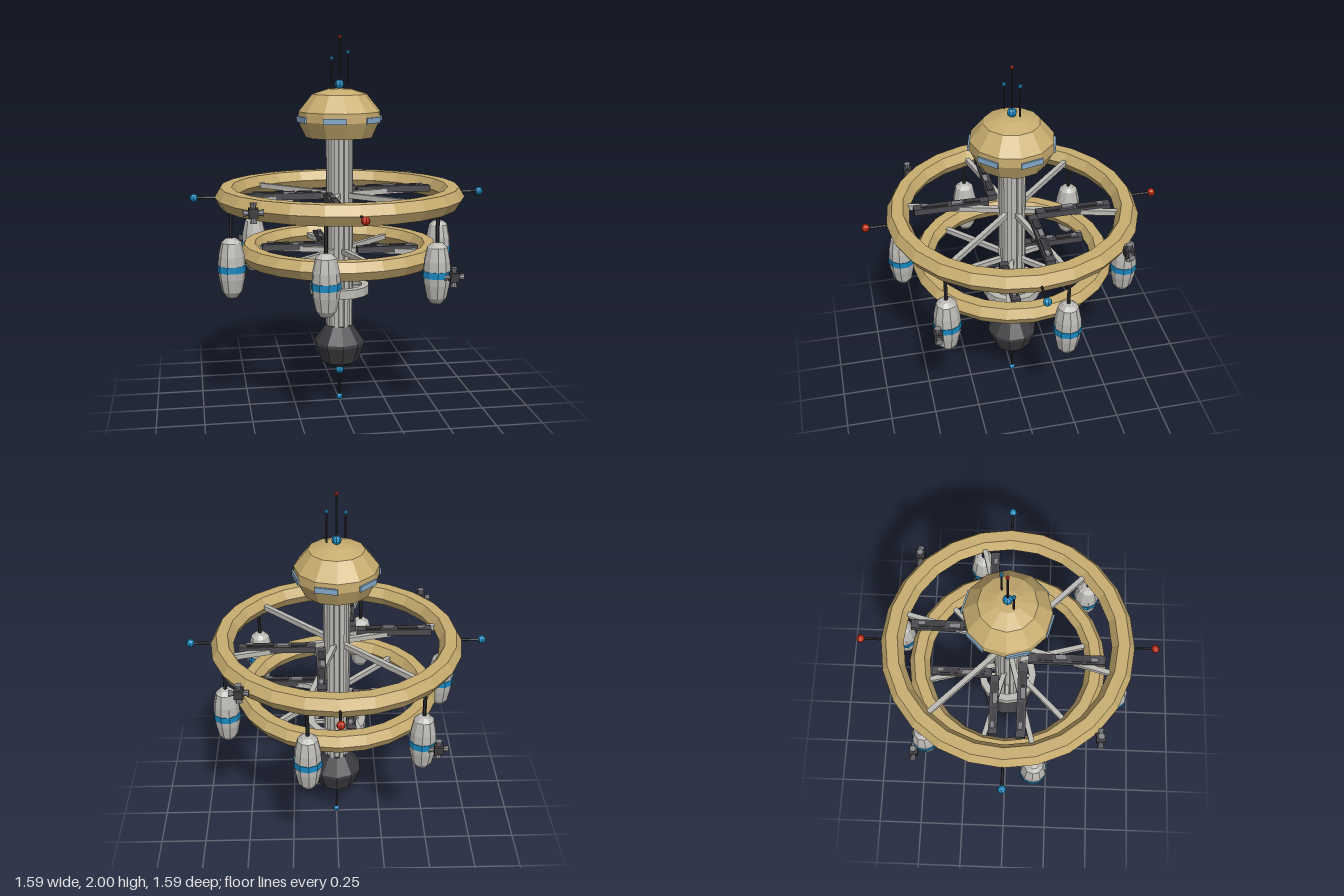
import * as THREE from 'three';

const mat = (name, color) => {
  const m = new THREE.MeshStandardMaterial({ color, flatShading: true });
  m.name = name;
  return m;
};

export function createModel() {
  const tan = mat('tan hull', 0xc8ad70), grey = mat('light grey', 0xbcbab5), dark = mat('charcoal', 0x3b3b3f);
  const beamGrey = mat('slate', 0x4a4a4f), steel = mat('steel', 0x85858a), rodMat = mat('rod black', 0x2b2c30);
  const glass = mat('window blue', 0x84aacb), blue = mat('signal blue', 0x1888c0), red = mat('signal red', 0xc02c12);

  const root = new THREE.Group();
  const rad = THREE.MathUtils.degToRad;
  const group = (name, parent = root) => {
    const g = new THREE.Group();
    g.name = name;
    parent.add(g);
    return g;
  };
  const add = (parent, name, geo, material, x = 0, y = 0, z = 0) => {
    const m = new THREE.Mesh(geo, material);
    m.name = name;
    m.position.set(x, y, z);
    parent.add(m);
    return m;
  };
  const box = (w, h, d) => new THREE.BoxGeometry(w, h, d);
  const ball = r => new THREE.SphereGeometry(r, 8, 6);
  // profiles run from bottom to top so faces point outwards
  const lathe = (pts, n) => new THREE.LatheGeometry(pts.map(p => new THREE.Vector2(p[0], p[1])), n);
  const rod = (parent, name, r, y0, y1, x = 0, z = 0) =>
    add(parent, name, new THREE.CylinderGeometry(r, r, y1 - y0, 6), rodMat, x, (y0 + y1) / 2, z);

  // Central column with ribs
  const column = group('column');
  add(column, 'columnCore', new THREE.CylinderGeometry(0.062, 0.062, 1.06, 12), grey, 0, 0.95, 0);
  for (let i = 0; i < 8; i++) {
    const a = i * Math.PI / 4 + Math.PI / 8;
    const rib = add(column, 'columnRib', box(0.02, 1.05, 0.024), grey, Math.cos(a) * 0.062, 0.95, -Math.sin(a) * 0.062);
    rib.rotation.y = a;
  }

  // Command head with a band of windows
  const head = group('head');
  add(head, 'headHull', lathe([[0, 1.46], [0.18, 1.47], [0.22, 1.555], [0.218, 1.605], [0.145, 1.695], [0.06, 1.722], [0, 1.725]], 12), tan);
  for (let i = 0; i < 6; i++) {
    const a = rad(-15 + i * 60);
    const w = add(head, 'window', box(0.118, 0.03, 0.009), glass, Math.sin(a) * 0.217, 1.566, Math.cos(a) * 0.217);
    w.rotation.y = a;
  }

  // Masts on the head
  const masts = group('masts');
  add(masts, 'mastBase', ball(0.025), blue, 0, 1.745, 0);
  for (const [x, z, y0, y1, r, m] of [
    [0, 0, 1.75, 1.99, 0.01, red], [-0.046, 0.03, 1.745, 1.88, 0.011, blue], [0.05, -0.03, 1.745, 1.91, 0.011, blue]]) {
    rod(masts, 'mast', 0.005, y0, y1, x, z);
    add(masts, 'mastTip', ball(r), m, x, y1, z);
  }

  // Two wheels, each with a six-sided rim, spokes and equipment beams
  const wheel = (name, y, R, tube, spokeStart, spokeEnd, beamLen, beams) => {
    const g = group(name);
    g.position.y = y;
    add(g, 'rim', new THREE.TorusGeometry(R, tube, 6, 24).rotateX(-Math.PI / 2), tan);
    const mid = spokeEnd * 0.585;
    for (let i = 0; i < 6; i++) {
      const deg = spokeStart + i * 60, a = rad(deg);
      const len = spokeEnd + 0.005;
      const s = add(g, 'spoke', box(len, 0.028, 0.026), grey, Math.cos(a) * len / 2, 0, -Math.sin(a) * len / 2);
      s.rotation.y = a;
      if (!beams.includes(deg)) continue;
      // beams are squared to the main axes and cross the spokes
      const b = group('beam', g);
      b.position.set(Math.cos(a) * mid, 0.012, -Math.sin(a) * mid);
      b.rotation.y = Math.round(a / (Math.PI / 2)) * Math.PI / 2;
      add(b, 'beamBody', box(beamLen, 0.035, 0.048), beamGrey);
      add(b, 'beamCover', box(beamLen * 0.35, 0.008, 0.03), dark, beamLen * 0.22, 0.02, 0);
      add(b, 'beamCover', box(beamLen * 0.2, 0.008, 0.03), dark, -beamLen * 0.28, 0.02, 0);
      add(b, 'beamPlate', box(0.06, 0.012, 0.026), steel, -0.03, 0.02, -0.006);
      add(b, 'beamPlate', box(0.035, 0.012, 0.02), steel, beamLen * 0.36, 0.021, 0.005);
    }
  };
  wheel('upperWheel', 1.16, 0.605, 0.06, 15, 0.55, 0.4, [15, 75, 195, 255]);
  wheel('lowerWheel', 0.857, 0.485, 0.056, 45, 0.44, 0.33, [345, 165, 105]);

  // Hanging pods below the upper wheel
  const podGeo = lathe([[0, 0.655], [0.03, 0.66], [0.052, 0.69], [0.067, 0.76], [0.071, 0.815], [0.067, 0.88], [0.052, 0.95], [0.03, 0.97], [0, 0.975]], 10);
  const bandGeo = new THREE.CylinderGeometry(0.0735, 0.0735, 0.034, 10);
  for (let i = 0; i < 6; i++) {
    const a = rad(15 + i * 60);
    const pod = group('pod');
    pod.position.set(Math.cos(a) * 0.61, 0, -Math.sin(a) * 0.61);
    pod.rotation.y = a;
    add(pod, 'podShell', podGeo, grey);
    add(pod, 'podBand', bandGeo, blue, 0, 0.813, 0);
    rod(pod, 'podHanger', 0.01, 0.96, 1.13);
  }

  // Signal booms around the upper rim: blue at the sides, red front and back
  for (let i = 0; i < 4; i++) {
    const boom = group('signalBoom');
    boom.position.y = 1.16;
    boom.rotation.y = i * Math.PI / 2;
    const r = add(boom, 'boomRod', new THREE.CylinderGeometry(0.007, 0.007, 0.13, 6), rodMat, 0.705, 0, 0);
    r.rotation.z = Math.PI / 2;
    add(boom, 'boomLight', ball(0.022), i % 2 ? red : blue, 0.773, 0, 0);
  }

  // Thruster blocks with four nozzles each
  const nozzle = new THREE.CylinderGeometry(0.011, 0.018, 0.028, 8);
  for (const [x, y, z] of [[-0.495, 1.16, 0.49], [0.49, 1.16, -0.49], [0.505, 0.805, 0.49], [-0.505, 0.805, -0.49]]) {
    const t = group('thruster');
    t.position.set(x, y, z);
    add(t, 'thrusterBlock', box(0.046, 0.046, 0.046), dark);
    for (let i = 0; i < 4; i++) {
      const a = i * Math.PI / 2;
      const n = add(t, 'thrusterNozzle', nozzle, steel, Math.cos(a) * 0.036, Math.sin(a) * 0.036, 0);
      n.rotation.z = a + Math.PI / 2;
    }
    const arm = add(t, 'thrusterArm', box(0.07, 0.016, 0.016), dark, -Math.sign(x) * 0.025, 0, -Math.sign(z) * 0.025);
    arm.rotation.y = Math.atan2(-z, x);
  }

  // Docking collar around the lower column
  const collar = group('collar');
  add(collar, 'collarRing', lathe([[0.122, 0.62], [0.162, 0.62], [0.162, 0.668], [0.122, 0.668], [0.122, 0.62]], 16), grey);
  for (let i = 0; i < 2; i++)
    add(collar, 'collarBrace', box(0.27, 0.02, 0.02), grey, 0, 0.645, 0).rotation.y = i * Math.PI / 2;

  // Engine bulb and lower probe
  const engine = group('engine');
  add(engine, 'engineBulb', lathe([[0, 0.2], [0.03, 0.2], [0.105, 0.238], [0.14, 0.335], [0.138, 0.35], [0.075, 0.44], [0, 0.44]], 10), dark);
  add(engine, 'probeBase', ball(0.025), blue, 0, 0.18, 0);
  rod(engine, 'probeRod', 0.007, 0.02, 0.17);
  add(engine, 'probeTip', ball(0.018), blue, 0, 0.02, 0);

  return root;
}
